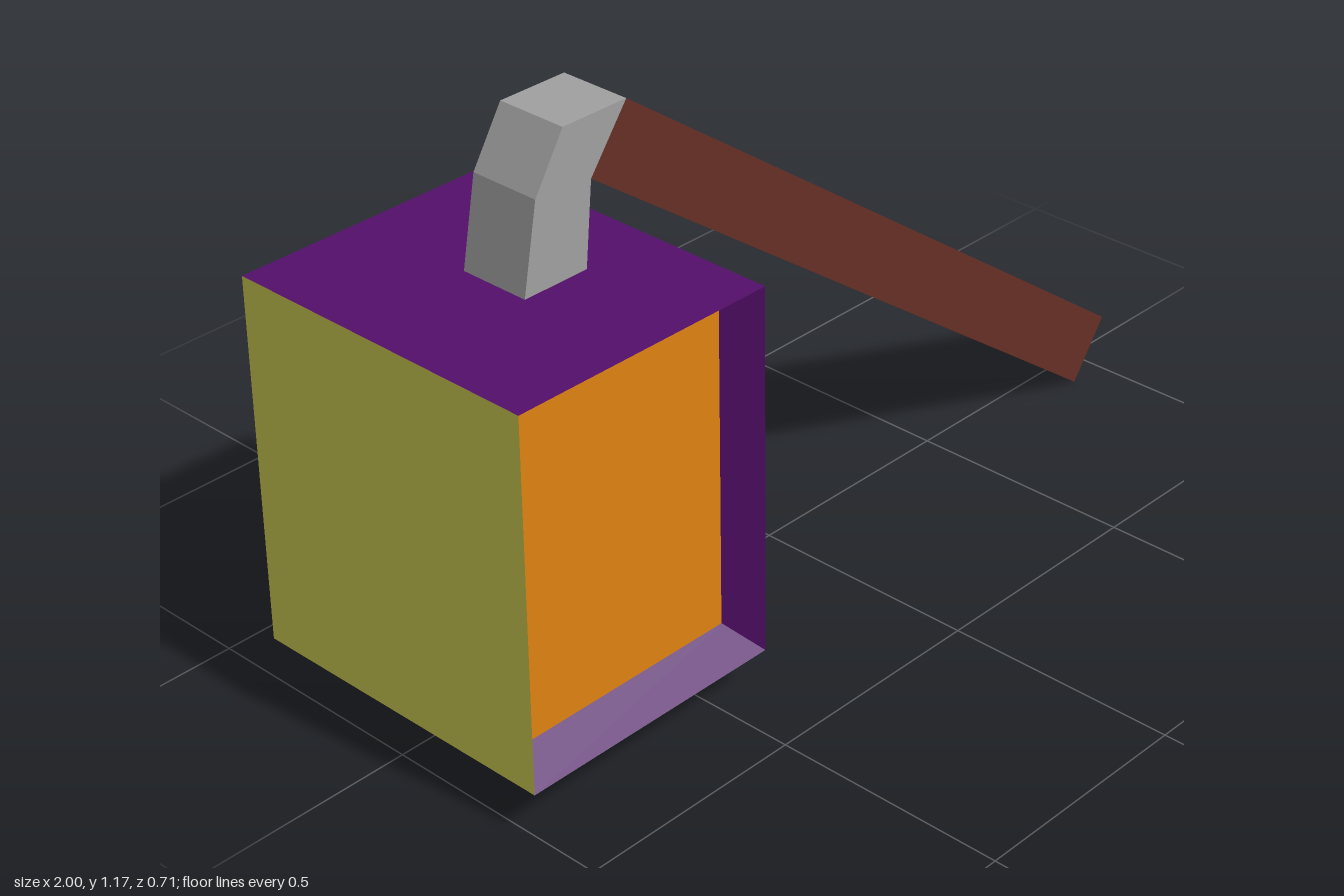
import * as THREE from 'three';

const flat = (name, color) => {
  const m = new THREE.MeshStandardMaterial({ color });
  m.name = name;
  return m;
};

// Flat-sided surface from a list of four-cornered faces, corners counter-clockwise
function quads(faces) {
  const pos = [];
  for (const [a, b, c, d] of faces) pos.push(...a, ...b, ...c, ...a, ...c, ...d);
  const geo = new THREE.BufferGeometry();
  geo.setAttribute('position', new THREE.Float32BufferAttribute(pos, 3));
  geo.computeVertexNormals();
  return geo;
}

// Side outline in x, y given thickness across z
function slab(points, thickness) {
  const shape = new THREE.Shape(points.map(([x, y]) => new THREE.Vector2(x, y)));
  const geo = new THREE.ExtrudeGeometry(shape, { depth: thickness, bevelEnabled: false });
  return geo.translate(0, 0, -thickness / 2);
}

// Rectangle of four corners at depth z: bottom left, bottom right, top right, top left
const ring = (x0, x1, y0, y1, z) => [[x0, y0, z], [x1, y0, z], [x1, y1, z], [x0, y1, z]];

export function createModel() {
  const purple = flat('purple', 0x540f6c);
  const orange = flat('orange', 0xdf8210);
  const olive = flat('olive yellow', 0xd0d054);
  const grey = flat('grey', 0xa0a0a0);
  const brown = flat('brown', 0x672f26);

  const group = new THREE.Group();
  const add = (name, geo, mat) => {
    const mesh = new THREE.Mesh(geo, mat);
    mesh.name = name;
    group.add(mesh);
  };

  // Block: rings from the recessed back, over both rims, to the recessed front
  const half = 0.356, recess = 0.068;
  const inner = [-0.95, -0.446, 0.146, 0.82], outer = [-1, -0.398, 0.092, 0.875];
  const rings = [
    ring(...inner, -half + recess), ring(...outer, -half),
    ring(...outer, half), ring(...inner, half - recess),
  ];
  const shell = [], side = [];
  for (let r = 0; r < 3; r++) {
    for (let i = 0; i < 4; i++) {
      const j = (i + 1) % 4, A = rings[r], B = rings[r + 1];
      const face = [A[i], A[j], B[j], B[i]];
      (r === 1 && i === 3 ? side : shell).push(face);
    }
  }
  add('blockShell', quads(shell), purple);
  add('blockEndFace', quads(side), olive);

  // Recessed panels
  add('frontPanel', quads([rings[3]]), orange);
  add('backPanel', quads([[...rings[0]].reverse()]), orange);

  // Bent neck and long handle share a slanted joint
  const width = 0.157, jointTop = [-0.458, 1.175], jointLow = [-0.55, 1.05];
  add('neck', slab([
    [-0.72, 0.875], [-0.567, 0.875], jointLow, jointTop, [-0.615, 1.175], [-0.686, 1.06],
  ], width), grey);
  add('handle', slab([jointLow, [0.91, 0], [1, 0.127], jointTop], width), brown);

  return group;
}
